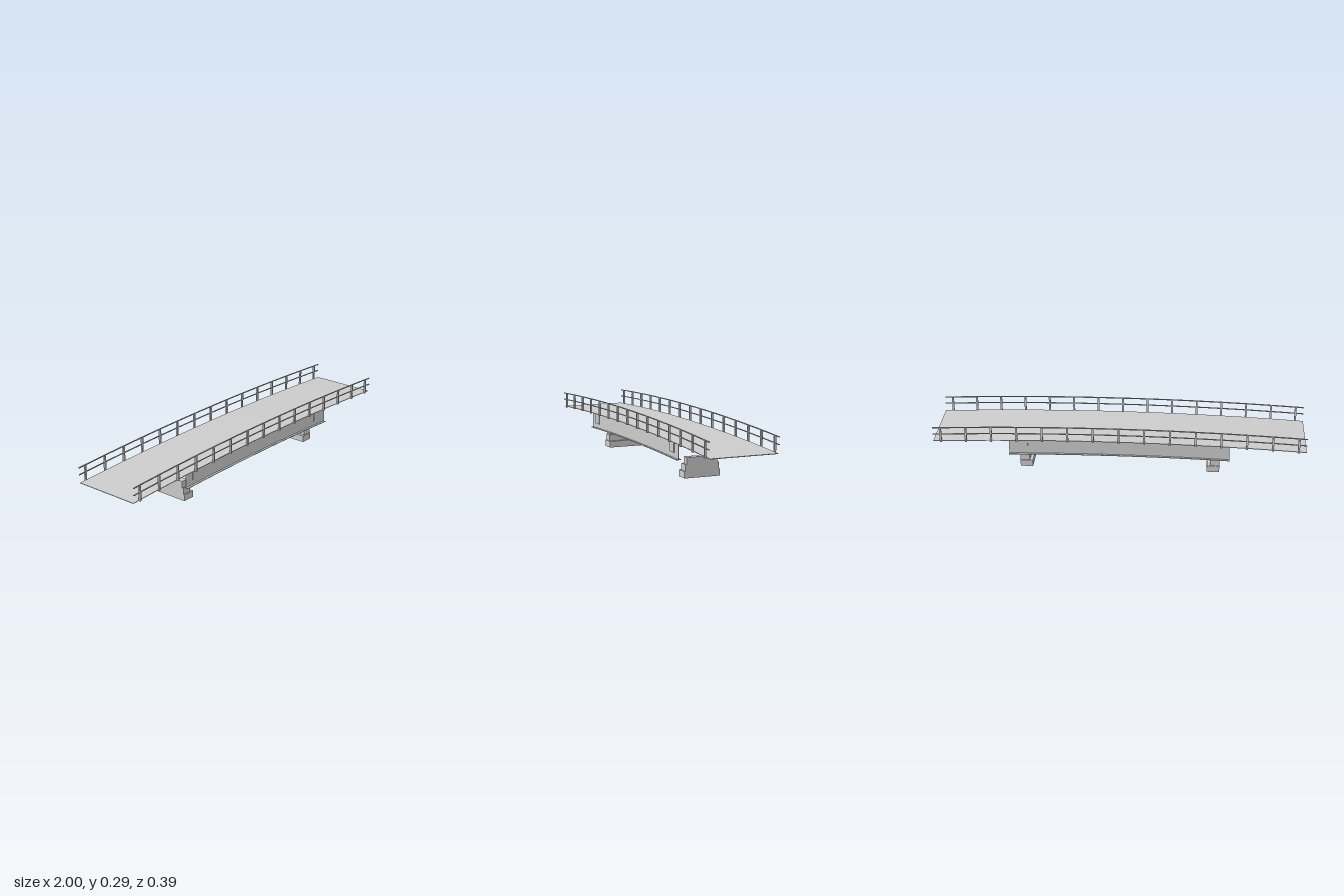
import * as THREE from 'three';

const material = new THREE.MeshStandardMaterial({ color: 0xcccccc, flatShading: true });

// Height of the road surface along the gentle arch
const deckY = (x) => 0.2095 - 0.0265 * x * x;

// Solid strip following the arch: y offsets from the road surface, centred on z
function archedStrip(name, halfLength, top, bottom, z, width, segments = 28) {
  const shape = new THREE.Shape();
  for (let i = 0; i <= segments; i++) {
    const x = -halfLength + (2 * halfLength * i) / segments;
    if (i === 0) shape.moveTo(x, deckY(x) + bottom);
    else shape.lineTo(x, deckY(x) + bottom);
  }
  for (let i = segments; i >= 0; i--) {
    const x = -halfLength + (2 * halfLength * i) / segments;
    shape.lineTo(x, deckY(x) + top);
  }
  const geometry = new THREE.ExtrudeGeometry(shape, { depth: width, bevelEnabled: false });
  geometry.translate(0, 0, z - width / 2);
  const mesh = new THREE.Mesh(geometry, material);
  mesh.name = name;
  return mesh;
}

// Box given by its limits on each axis
function block(name, x0, x1, y0, y1, z0, z1) {
  const mesh = new THREE.Mesh(new THREE.BoxGeometry(x1 - x0, y1 - y0, z1 - z0), material);
  mesh.position.set((x0 + x1) / 2, (y0 + y1) / 2, (z0 + z1) / 2);
  mesh.name = name;
  return mesh;
}

// Posts and two rails along one edge
function createRailing(side) {
  const railing = new THREE.Group();
  railing.name = side > 0 ? 'frontRailing' : 'backRailing';
  const z = side * 0.188;
  railing.add(archedStrip('topRail', 1, 0.0825, 0.0775, z, 0.005));
  railing.add(archedStrip('middleRail', 1, 0.0445, 0.0400, z, 0.005));
  for (let i = -7; i <= 7; i++) {
    const x = i * 0.1367, y = deckY(x);
    railing.add(block('railingPost', x - 0.005, x + 0.005, y - 0.005, y + 0.0775, z - 0.005, z + 0.005));
  }
  return railing;
}

// Web with bottom flange and a bearing plate near each end
function createGirder(side) {
  const girder = new THREE.Group();
  girder.name = side > 0 ? 'frontGirder' : 'backGirder';
  const z = side * 0.1565;
  girder.add(archedStrip('girderWeb', 0.593, -0.003, -0.0895, z, 0.003));
  girder.add(archedStrip('girderFlange', 0.593, -0.0895, -0.0930, z, 0.027));
  for (const end of [-1, 1]) {
    const plate = block('bearingPlate', -0.026, 0.026, 0.138, 0.1975, -0.0025, 0.0025);
    plate.position.x = end * 0.517;
    plate.position.z = z + side * 0.0025;
    girder.add(plate);
  }
  return girder;
}

// Three stacked courses, flush on the outer face and stepped elsewhere
function createAbutment(end) {
  const abutment = new THREE.Group();
  abutment.name = end > 0 ? 'leftAbutment' : 'rightAbutment';
  const courses = [[0.475, 0.1], [0.492, 0.095], [0.507, 0.087]];
  courses.forEach(([inner, halfWidth], i) => {
    const x0 = end > 0 ? inner : -0.543;
    const x1 = end > 0 ? 0.543 : -inner;
    abutment.add(block('abutmentCourse', x0, x1, i * 0.036, (i + 1) * 0.036, -halfWidth, halfWidth));
  });
  return abutment;
}

export function createModel() {
  const bridge = new THREE.Group();
  bridge.name = 'footbridge';
  bridge.add(archedStrip('deck', 1, 0, -0.003, 0, 0.368));
  for (const side of [-1, 1]) {
    bridge.add(createRailing(side), createGirder(side), createAbutment(side));
  }
  return bridge;
}
